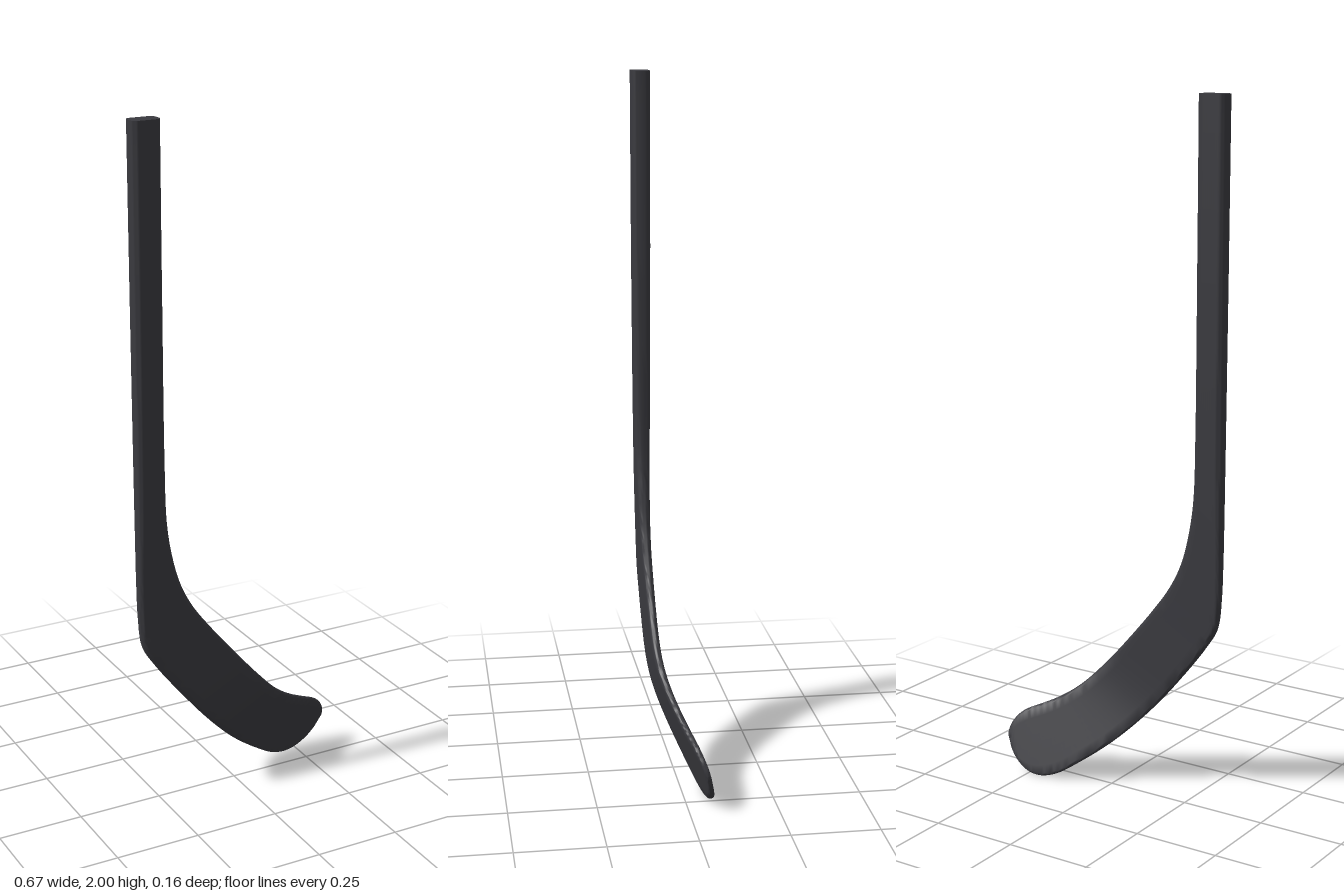
import * as THREE from 'three';
import { toCreasedNormals } from 'three/addons/utils/BufferGeometryUtils.js';

// Stations from shaft top to toe: heel edge x, y, upper edge x, y, thickness
const STATIONS = [
  [-0.333, 2.0, -0.25, 2.0, 0.052],
  [-0.333, 1.5, -0.25, 1.5, 0.05],
  [-0.333, 1.05, -0.248, 1.05, 0.045],
  [-0.333, 0.85, -0.243, 0.89, 0.041],
  [-0.333, 0.72, -0.228, 0.79, 0.036],
  [-0.331, 0.61, -0.2, 0.69, 0.031],
  [-0.32, 0.52, -0.162, 0.615, 0.027],
  [-0.285, 0.46, -0.11, 0.543, 0.025],
  [-0.2, 0.348, -0.03, 0.445, 0.023],
  [-0.1, 0.23, 0.06, 0.342, 0.021],
  [0, 0.13, 0.13, 0.272, 0.02],
  [0.1, 0.052, 0.19, 0.23, 0.019],
  [0.16, 0.014, 0.24, 0.204, 0.018],
  [0.21, 0.001, 0.285, 0.182, 0.017],
  [0.25, 0.008, 0.31, 0.162, 0.016],
  [0.285, 0.03, 0.328, 0.134, 0.015],
  [0.31, 0.058, 0.333, 0.108, 0.012],
  [0.322, 0.077, 0.33, 0.093, 0.005],
];

// Straight along the shaft, then curving backwards towards the toe
const curveZ = (x, y) => 0.053 - 0.148 * 0.1 * Math.log(1 + Math.exp((x - 2 * y + 0.6) / 0.1));

// Rounded rectangle as [across, through] offsets, with subdivided broad sides
function section(width, thick) {
  const r = Math.min(0.016, thick * 0.49, width * 0.49);
  const a = width / 2 - r, b = thick / 2 - r, ring = [];
  [[1, 1], [-1, 1], [-1, -1], [1, -1]].forEach(([sx, sz], q) => {
    for (let k = 0; k <= 5; k++) {
      const t = (q + k / 5) * Math.PI / 2;
      ring.push([sx * a + r * Math.cos(t), sz * b + r * Math.sin(t)]);
    }
    if (q % 2 === 0) {
      for (let k = 1; k < 8; k++) ring.push([sx * a * (1 - k / 4), sz * (b + r)]);
    }
  });
  return ring;
}

function stickGeometry() {
  const heel = new THREE.CatmullRomCurve3(STATIONS.map(s => new THREE.Vector3(s[0], s[1], 0)));
  const upper = new THREE.CatmullRomCurve3(STATIONS.map(s => new THREE.Vector3(s[2], s[3], 0)));
  const n = (STATIONS.length - 1) * 5;
  const pos = [], index = [];
  let count = 0;

  for (let i = 0; i <= n; i++) {
    const p = heel.getPoint(i / n), q = upper.getPoint(i / n);
    const k = Math.min(Math.floor(i / 5), STATIONS.length - 2);
    const thick = THREE.MathUtils.lerp(STATIONS[k][4], STATIONS[k + 1][4], i / 5 - k);
    const mid = p.clone().add(q).multiplyScalar(0.5);
    const dir = q.clone().sub(p).normalize();
    const ring = section(p.distanceTo(q), thick);
    count = ring.length;
    for (const [w, t] of ring) {
      const x = mid.x + dir.x * w, y = mid.y + dir.y * w;
      pos.push(x, y, curveZ(x, y) + t);
    }
  }
  for (let i = 0; i < n; i++) {
    for (let j = 0; j < count; j++) {
      const a = i * count + j, b = i * count + (j + 1) % count;
      index.push(a, b, a + count, b, b + count, a + count);
    }
  }
  // Flat shaft end and tiny toe closure
  const addCap = (start, top) => {
    const c = pos.length / 3, m = [0, 0, 0];
    for (let j = 0; j < count; j++) for (let k = 0; k < 3; k++) m[k] += pos[(start + j) * 3 + k] / count;
    pos.push(...m);
    for (let j = 0; j < count; j++) {
      const a = start + j, b = start + (j + 1) % count;
      if (top) index.push(c, b, a);
      else index.push(c, a, b);
    }
  };
  addCap(0, true);
  addCap(n * count, false);

  const geo = new THREE.BufferGeometry();
  geo.setAttribute('position', new THREE.Float32BufferAttribute(pos, 3));
  geo.setIndex(index);
  return toCreasedNormals(geo, 0.9);
}

export function createModel() {
  const group = new THREE.Group();
  group.name = 'hockeyStick';
  const stick = new THREE.Mesh(stickGeometry(), new THREE.MeshStandardMaterial({ color: 0x3a3a3f }));
  stick.name = 'shaftAndBlade';
  group.add(stick);
  return group;
}
